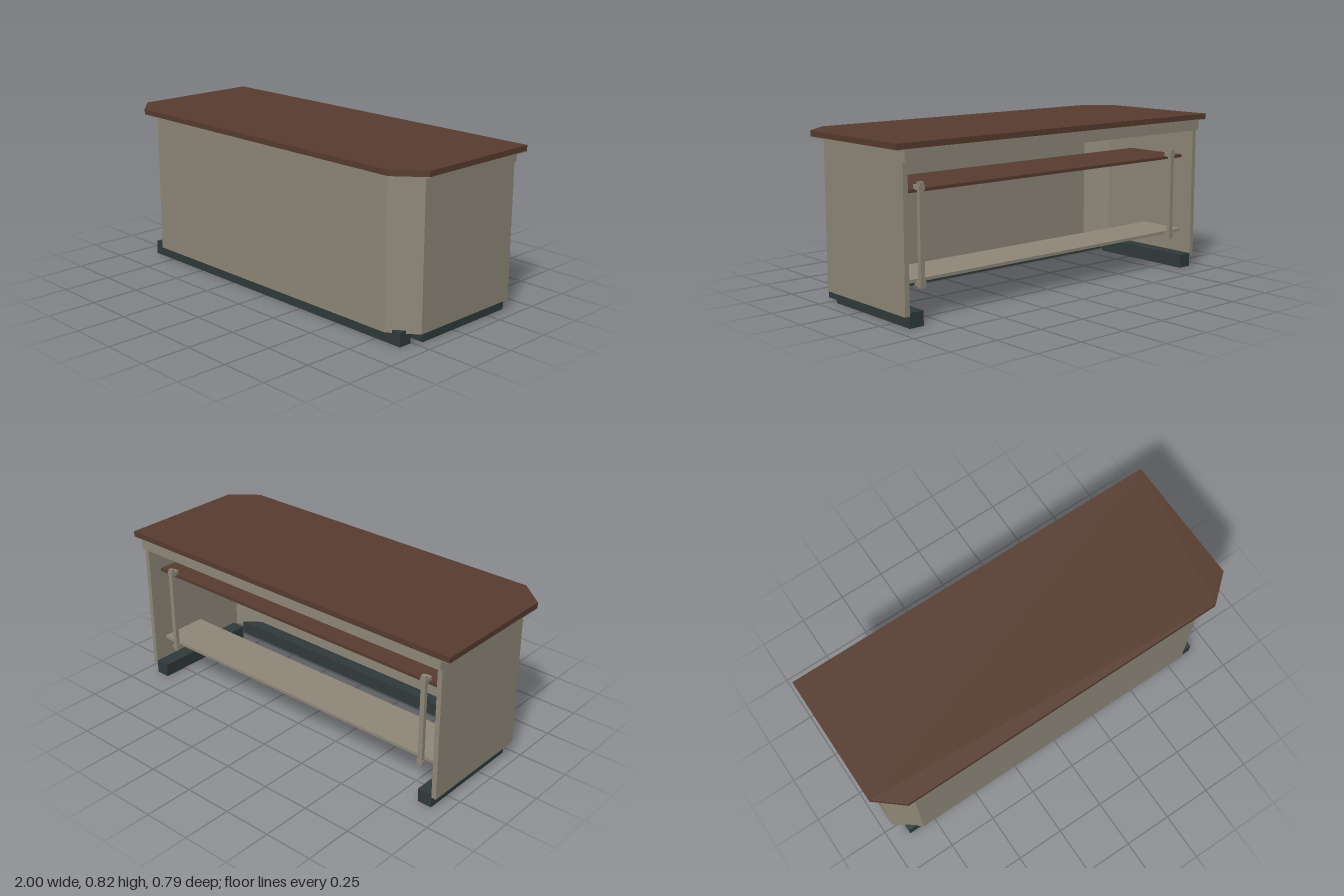
import * as THREE from 'three';

const beige = new THREE.MeshStandardMaterial({ color: 0x8f8879 });
beige.name = 'beige laminate';
const brown = new THREE.MeshStandardMaterial({ color: 0x573b2f });
brown.name = 'brown wood';
const slate = new THREE.MeshStandardMaterial({ color: 0x303a3a });
slate.name = 'dark slate';

export function createModel() {
  const model = new THREE.Group();
  model.name = 'counterDesk';

  const add = (name, geometry, material) => {
    const mesh = new THREE.Mesh(geometry, material);
    mesh.name = name;
    model.add(mesh);
  };

  // Box given by its limits on each axis
  const box = (name, material, [x0, x1], [y0, y1], [z0, z1]) => {
    const g = new THREE.BoxGeometry(x1 - x0, y1 - y0, z1 - z0);
    g.translate((x0 + x1) / 2, (y0 + y1) / 2, (z0 + z1) / 2);
    add(name, g, material);
  };

  // Upright prism from a plan outline of [x, z] points
  const slab = (name, material, plan, y0, y1) => {
    const shape = new THREE.Shape(plan.map(([x, z]) => new THREE.Vector2(x, -z)));
    const g = new THREE.ExtrudeGeometry(shape, { depth: y1 - y0, bevelEnabled: false });
    g.rotateX(-Math.PI / 2).translate(0, y0, 0);
    add(name, g, material);
  };

  // Worktop with cut front corners and a thin beige underside
  const top = [[-1, -0.395], [1, -0.395], [1, 0.28], [0.865, 0.395], [-0.865, 0.395], [-1, 0.28]];
  slab('worktop', brown, top, 0.79, 0.817);
  slab('worktopUnderside', beige, top, 0.785, 0.79);

  // Front wall and rear rail
  const wallY = [0.055, 0.785];
  slab('frontPanel', beige,
    [[-0.82, 0.347], [0.82, 0.347], [0.811, 0.322], [-0.811, 0.322]], ...wallY);
  box('rearRail', beige, [-0.95, 0.95], [0.733, 0.785], [-0.388, -0.372]);

  // Front plinth, whose ends poke through the corner panels
  box('frontPlinth', slate, [-0.895, 0.895], [0, 0.07], [0.257, 0.327]);

  // Two shelves between the side panels
  box('upperShelf', brown, [-0.926, 0.926], [0.582, 0.597], [-0.3, 0.065]);
  box('lowerShelf', beige, [-0.926, 0.926], [0.18, 0.195], [-0.3, -0.045]);

  for (const [side, s] of [['left', 1], ['right', -1]]) {
    const span = (a, b) => (s > 0 ? [a, b] : [-b, -a]);

    // Side and corner panels
    slab(side + 'SidePanel', beige,
      [[0.95, -0.372], [0.95, 0.247], [0.925, 0.235], [0.925, -0.372]].map(([x, z]) => [s * x, z]), ...wallY);
    slab(side + 'CornerPanel', beige,
      [[0.95, 0.247], [0.82, 0.347], [0.811, 0.322], [0.925, 0.235]].map(([x, z]) => [s * x, z]), ...wallY);
    box(side + 'Plinth', slate, span(0.85, 0.925), [0, 0.07], [-0.371, 0.21]);

    // Shelf hanger: post and two clips
    box(side + 'HangerPost', beige, span(0.807, 0.831), [0.155, 0.63], [-0.328, -0.308]);
    for (const y of [0.175, 0.605])
      box(side + 'HangerClip', beige, span(0.803, 0.835), [y - 0.012, y + 0.012], [-0.33, -0.285]);
  }
  return model;
}
